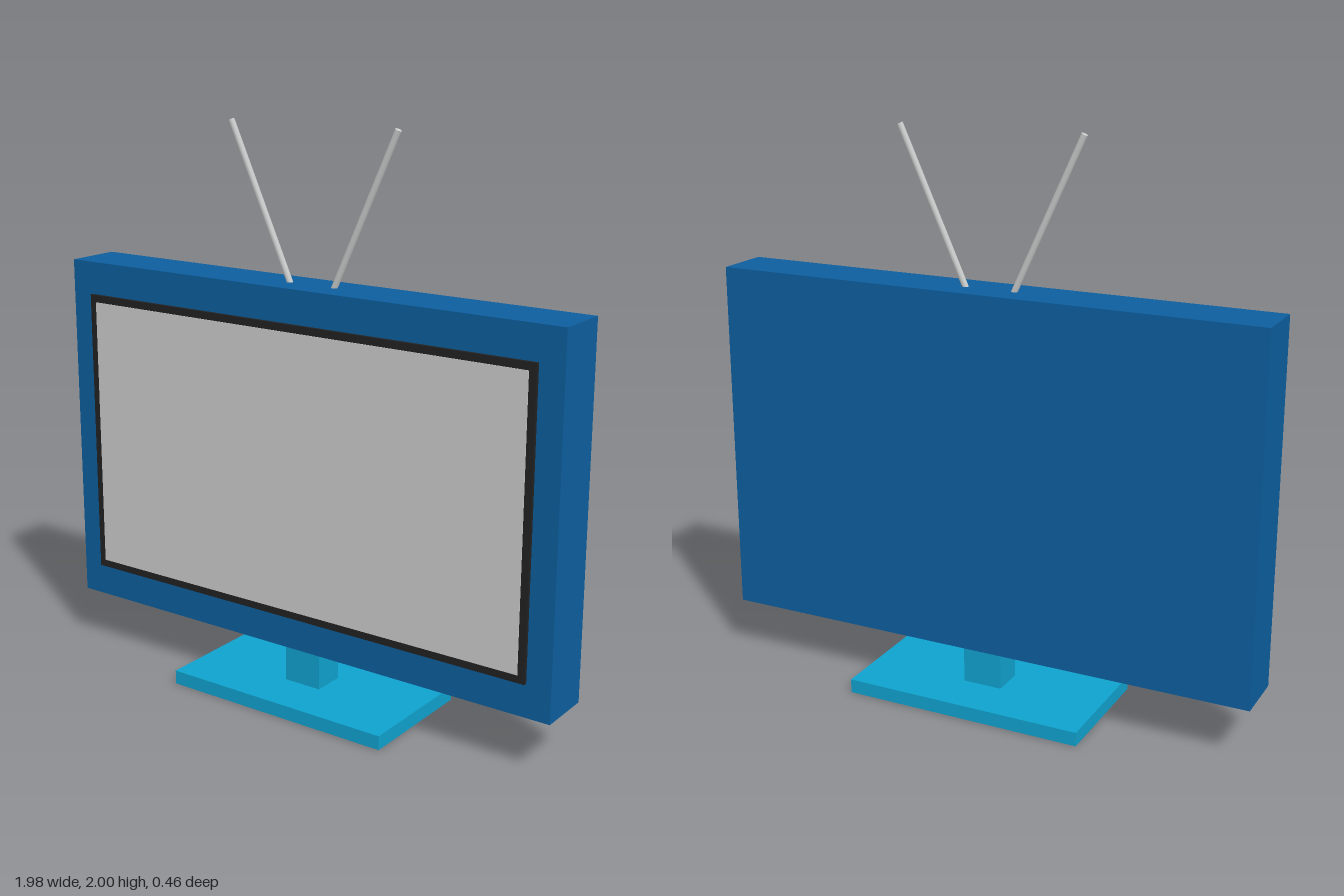
import * as THREE from 'three';

function material(name, color) {
  const m = new THREE.MeshStandardMaterial({ color });
  m.name = name;
  return m;
}

export function createModel() {
  const tv = new THREE.Group();
  tv.name = 'television';
  const blue = material('casing blue', 0x0c5e9e);
  const cyan = material('stand cyan', 0x0fa2ce);
  const black = material('bezel black', 0x222222);
  const grey = material('light grey', 0xcacccb);

  // Box given by its half width and its y and z ranges
  const box = (name, mat, halfW, y0, y1, z0, z1) => {
    const mesh = new THREE.Mesh(new THREE.BoxGeometry(halfW * 2, y1 - y0, z1 - z0), mat);
    mesh.position.set(0, (y0 + y1) / 2, (z0 + z1) / 2);
    mesh.name = name;
    tv.add(mesh);
  };

  // Stand
  box('standBase', cyan, 0.437, 0, 0.05, -0.232, 0.232);
  box('standNeck', cyan, 0.072, 0.05, 0.198, -0.058, 0.058);

  // Casing, bezel and screen
  box('casing', blue, 0.988, 0.198, 1.47, -0.1, 0.1);
  box('bezel', black, 0.9, 0.315, 1.353, 0.1, 0.112);
  box('screen', grey, 0.874, 0.342, 1.327, 0.112, 0.114);

  // Pair of antennas leaning outwards
  const up = new THREE.Vector3(0, 1, 0);
  for (const side of [-1, 1]) {
    const foot = new THREE.Vector3(side * 0.086, 1.46, 0);
    const tip = new THREE.Vector3(side * 0.331, 1.995, 0);
    const dir = tip.clone().sub(foot);
    const geometry = new THREE.CylinderGeometry(0.011, 0.011, dir.length(), 10);
    const antenna = new THREE.Mesh(geometry, grey);
    antenna.position.copy(foot).add(tip).multiplyScalar(0.5);
    antenna.quaternion.setFromUnitVectors(up, dir.normalize());
    antenna.name = side > 0 ? 'leftAntenna' : 'rightAntenna';
    tv.add(antenna);
  }
  return tv;
}
